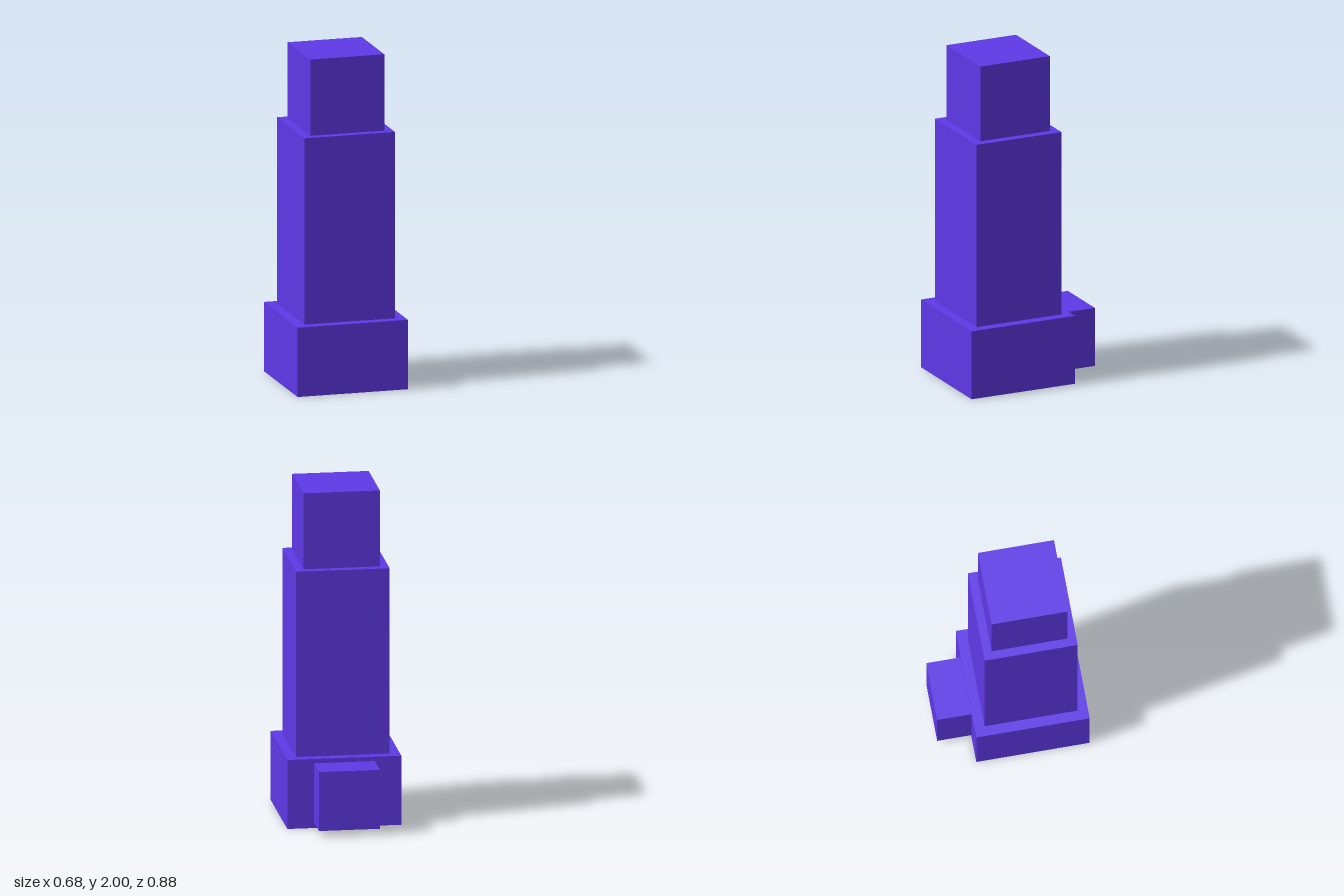
import * as THREE from 'three';

export function createModel() {
  const group = new THREE.Group();
  const violet = new THREE.MeshStandardMaterial({ color: 0x603aec });
  violet.name = 'violet';

  // Box standing on y0, centred on x = 0
  function addBlock(name, width, y0, y1, z0, z1) {
    const geometry = new THREE.BoxGeometry(width, y1 - y0, z1 - z0);
    const mesh = new THREE.Mesh(geometry, violet);
    mesh.name = name;
    mesh.position.set(0, (y0 + y1) / 2, (z0 + z1) / 2);
    group.add(mesh);
  }

  // Stepped tower, all tiers square and sharing one axis
  const axisZ = 0.102;
  const tiers = [
    ['base', 0.675, 0, 0.418],
    ['shaft', 0.554, 0.418, 1.54],
    ['cap', 0.453, 1.54, 2],
  ];
  for (const [name, size, y0, y1] of tiers) {
    addBlock(name, size, y0, y1, axisZ - size / 2, axisZ + size / 2);
  }

  // Block on the back of the base
  addBlock('rearBlock', 0.36, 0.035, 0.392, -0.44, axisZ - 0.3375);

  return group;
}
